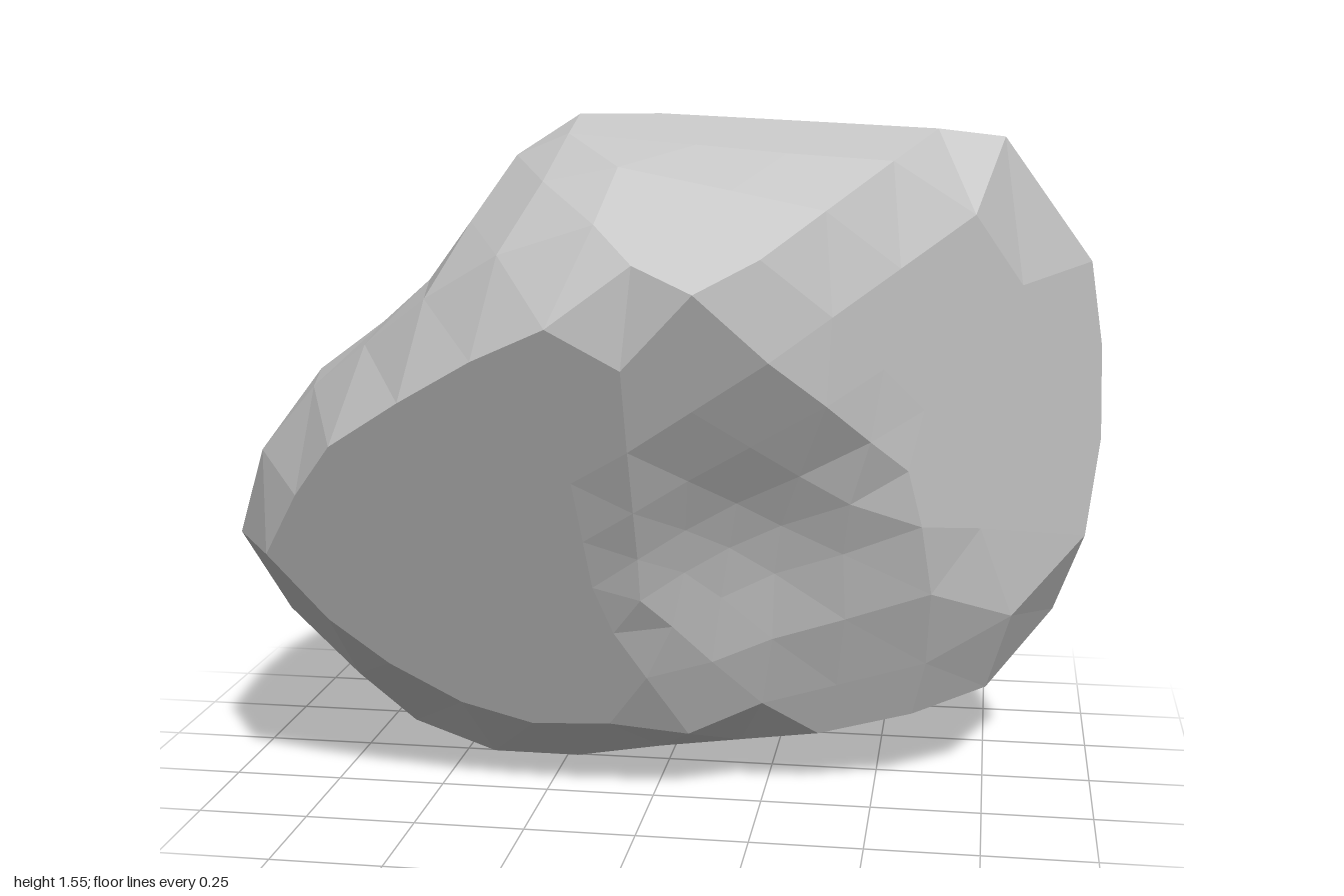
import * as THREE from 'three';
import { mergeVertices } from 'three/addons/utils/BufferGeometryUtils.js';

// Horizontal sections of the boulder: y, xMin, xMax, zMin, zMax
const SECTIONS = [
  [0, -0.34, -0.26, -0.02, 0.06],
  [0.04, -0.45, -0.1, -0.16, 0.1],
  [0.09, -0.61, 0.1, -0.26, 0.18],
  [0.13, -0.66, 0.45, -0.33, 0.22],
  [0.22, -0.77, 0.74, -0.42, 0.29],
  [0.38, -0.92, 0.91, -0.52, 0.41],
  [0.6, -1, 0.97, -0.63, 0.6],
  [0.85, -0.91, 1, -0.69, 0.66],
  [1.0, -0.76, 0.99, -0.7, 0.67],
  [1.17, -0.57, 0.97, -0.63, 0.69],
  [1.33, -0.44, 0.93, -0.47, 0.61],
  [1.43, -0.37, 0.84, -0.32, 0.48],
  [1.51, -0.27, 0.75, -0.13, 0.36],
  [1.55, -0.2, 0, 0.02, 0.2],
];
// Flat broken faces, kept where n.p <= d
const CUTS = [
  { n: new THREE.Vector3(1, 0, 1), d: 0.875 }, // right front
  { n: new THREE.Vector3(-0.02, -0.434, 1), d: 0.192 }, // left front
  { n: new THREE.Vector3(0.3, -0.434, 1), d: 0.192 }, // bevel between them
  { n: new THREE.Vector3(0.78, -0.6, 1), d: 0.443 }, // underside of the right front
  { n: new THREE.Vector3(0.265, 1, 0.797), d: 1.8 }, // slope above the right front
  { n: new THREE.Vector3(0.1, 1, 0.3), d: 1.59 }, // gentle slope at the top
];
// Chipped hollows: centre, radius, depth as a share of the distance from CENTRE
const HOLLOWS = [
  { c: new THREE.Vector3(0.27, 0.66, 0.4), r: 0.32, depth: 0.11 },
  { c: new THREE.Vector3(-0.42, 1.17, 0.12), r: 0.35, depth: 0.07 },
];
const CENTRE = new THREE.Vector3(0, 0.8, -0.05);

// Is a point inside the rounded, uncut body?
function insideBody(p) {
  const i = SECTIONS.findIndex((s) => s[0] > p.y);
  if (i < 1) return false;
  const a = SECTIONS[i - 1], b = SECTIONS[i];
  const t = (p.y - a[0]) / (b[0] - a[0]);
  const [, x0, x1, z0, z1] = a.map((v, k) => THREE.MathUtils.lerp(v, b[k], t));
  const u = (2 * p.x - x0 - x1) / (x1 - x0);
  if (Math.abs(u) > 1) return false;
  // each section is deeper towards the left-hand end and squarer at the back
  const w = (2 * p.z - z0 - z1) / ((z1 - z0) * (1 - 0.1 * u));
  const power = w < 0 ? 3.1 : 2.5;
  return Math.abs(u) ** power + Math.abs(w) ** power < 1;
}

// Distance from the centre to the uncut body
function bodyRadius(dir) {
  let lo = 0, hi = 1.6;
  for (let i = 0; i < 26; i++) {
    const mid = (lo + hi) / 2;
    if (insideBody(CENTRE.clone().addScaledVector(dir, mid))) lo = mid;
    else hi = mid;
  }
  return lo * 1.008;
}

// Distance from the centre to the nearest flat cut
function cutRadius(dir) {
  let r = 4;
  for (const { n, d } of CUTS) {
    const slope = n.dot(dir);
    if (slope > 0.01) r = Math.min(r, (d - n.dot(CENTRE)) / slope);
  }
  return r;
}

// Slide directions close to the rim of a cut onto it, for a crisp edge
function snapToRim(dir) {
  const gap = (d) => bodyRadius(d) - cutRadius(d);
  const moved = dir.clone();
  for (let step = 0; step < 3; step++) {
    const g = gap(moved), e = 0.01;
    if (Math.abs(g) > 0.5) return dir;
    const grad = new THREE.Vector3(...['x', 'y', 'z'].map((axis) => {
      const d = moved.clone();
      d[axis] += e;
      return (gap(d.normalize()) - g) / e;
    }));
    if (grad.lengthSq() < 0.01) return dir;
    moved.addScaledVector(grad, -g / grad.lengthSq()).normalize();
    if (moved.angleTo(dir) > 0.12) return dir;
  }
  return moved;
}

function boulderGeometry() {
  const ball = new THREE.IcosahedronGeometry(1, 4);
  ball.deleteAttribute('normal');
  ball.deleteAttribute('uv');
  const geometry = mergeVertices(ball, 1e-4);
  const pos = geometry.attributes.position;
  for (let i = 0; i < pos.count; i++) {
    const dir = snapToRim(new THREE.Vector3().fromBufferAttribute(pos, i).normalize());
    let r = Math.min(bodyRadius(dir), cutRadius(dir));
    const p = CENTRE.clone().addScaledVector(dir, r);
    for (const h of HOLLOWS) {
      const k = Math.max(0, 1 - (p.distanceTo(h.c) / h.r) ** 2);
      r *= 1 - h.depth * k;
    }
    p.copy(CENTRE).addScaledVector(dir, r);
    pos.setXYZ(i, p.x, p.y, p.z);
  }
  // Stand it on the ground, centred
  geometry.computeBoundingBox();
  const { min, max } = geometry.boundingBox;
  geometry.translate(-(min.x + max.x) / 2, -min.y, -(min.z + max.z) / 2);
  // Separate faces give flat facets
  const faceted = geometry.toNonIndexed();
  faceted.computeVertexNormals();
  return faceted;
}

export function createModel() {
  const stone = new THREE.MeshStandardMaterial({ color: 0xc4c4c4, flatShading: true });
  stone.name = 'stone grey';
  const boulder = new THREE.Mesh(boulderGeometry(), stone);
  boulder.name = 'boulder';
  const group = new THREE.Group();
  group.name = 'rock';
  group.add(boulder);
  return group;
}
